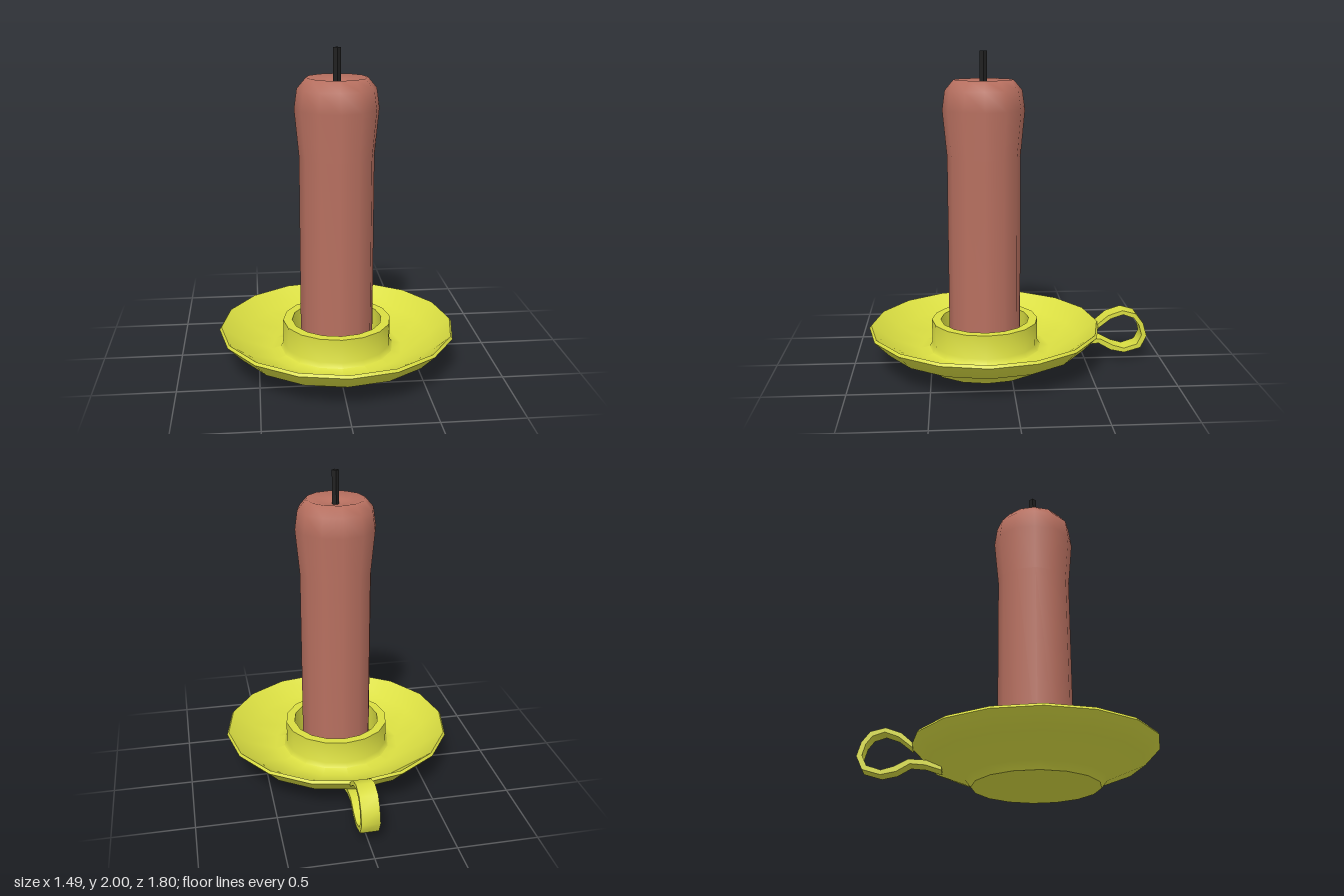
import * as THREE from 'three';
import { toCreasedNormals } from 'three/addons/utils/BufferGeometryUtils.js';

const AXIS_Z = 0.155; // the candle stands forward of centre to balance the handle

const points = (list) => list.map(([a, b]) => new THREE.Vector2(a, b));

function addMesh(group, name, geometry, color) {
  const mesh = new THREE.Mesh(geometry, new THREE.MeshStandardMaterial({ color }));
  mesh.name = name;
  group.add(mesh);
  return mesh;
}

export function createModel() {
  const model = new THREE.Group();
  model.name = 'candleHolder';
  const brass = 0xdade42, wax = 0xb87060, black = 0x222222;

  // Dish and raised socket as one turned profile: underside, rim, bowl, socket ring, floor
  const dishProfile = points([
    [0, 0], [0.385, 0], [0.42, 0.045], [0.65, 0.14], [0.745, 0.24], [0.733, 0.257],
    [0.61, 0.165], [0.42, 0.095], [0.36, 0.11], [0.342, 0.14],
    [0.342, 0.29], [0.285, 0.29], [0.285, 0.1], [0, 0.1],
  ]);
  const dish = addMesh(model, 'dish',
    toCreasedNormals(new THREE.LatheGeometry(dishProfile, 16), 0.8), brass);
  dish.position.z = AXIS_Z;

  // Candle: straight body, swollen top and a shallow melted hollow
  const candleProfile = points([
    [0.23, 0.1], [0.23, 1.35], [0.257, 1.64], [0.24, 1.76],
    [0.185, 1.825], [0.09, 1.8], [0, 1.785],
  ]);
  const candle = addMesh(model, 'candle', new THREE.LatheGeometry(candleProfile, 12), wax);
  candle.position.z = AXIS_Z;

  // Wick
  const wickGeometry = toCreasedNormals(new THREE.CylinderGeometry(0.023, 0.023, 0.24, 4), 0.8);
  const wick = addMesh(model, 'wick', wickGeometry, black);
  wick.position.set(0, 1.88, AXIS_Z);

  // Finger loop: a bent strip, outer edge then inner edge, given as (z, y)
  const outer = [
    [-0.575, 0.25], [-0.643, 0.308], [-0.738, 0.34], [-0.828, 0.315], [-0.876, 0.25],
    [-0.9, 0.165], [-0.862, 0.085], [-0.754, 0.055], [-0.664, 0.075], [-0.585, 0.122],
    [-0.495, 0.115], [-0.4, 0.085],
  ];
  const inner = [
    [-0.4, 0.115], [-0.495, 0.145], [-0.595, 0.15], [-0.68, 0.105], [-0.754, 0.083],
    [-0.838, 0.11], [-0.867, 0.17], [-0.849, 0.238], [-0.812, 0.288], [-0.742, 0.313],
    [-0.66, 0.285], [-0.575, 0.22],
  ];
  const width = 0.114;
  const loop = new THREE.ExtrudeGeometry(new THREE.Shape(points([...outer, ...inner])),
    { depth: width, bevelEnabled: false });
  loop.translate(0, 0, -width / 2).rotateY(-Math.PI / 2);
  addMesh(model, 'handle', toCreasedNormals(loop, 0.85), brass);

  return model;
}
